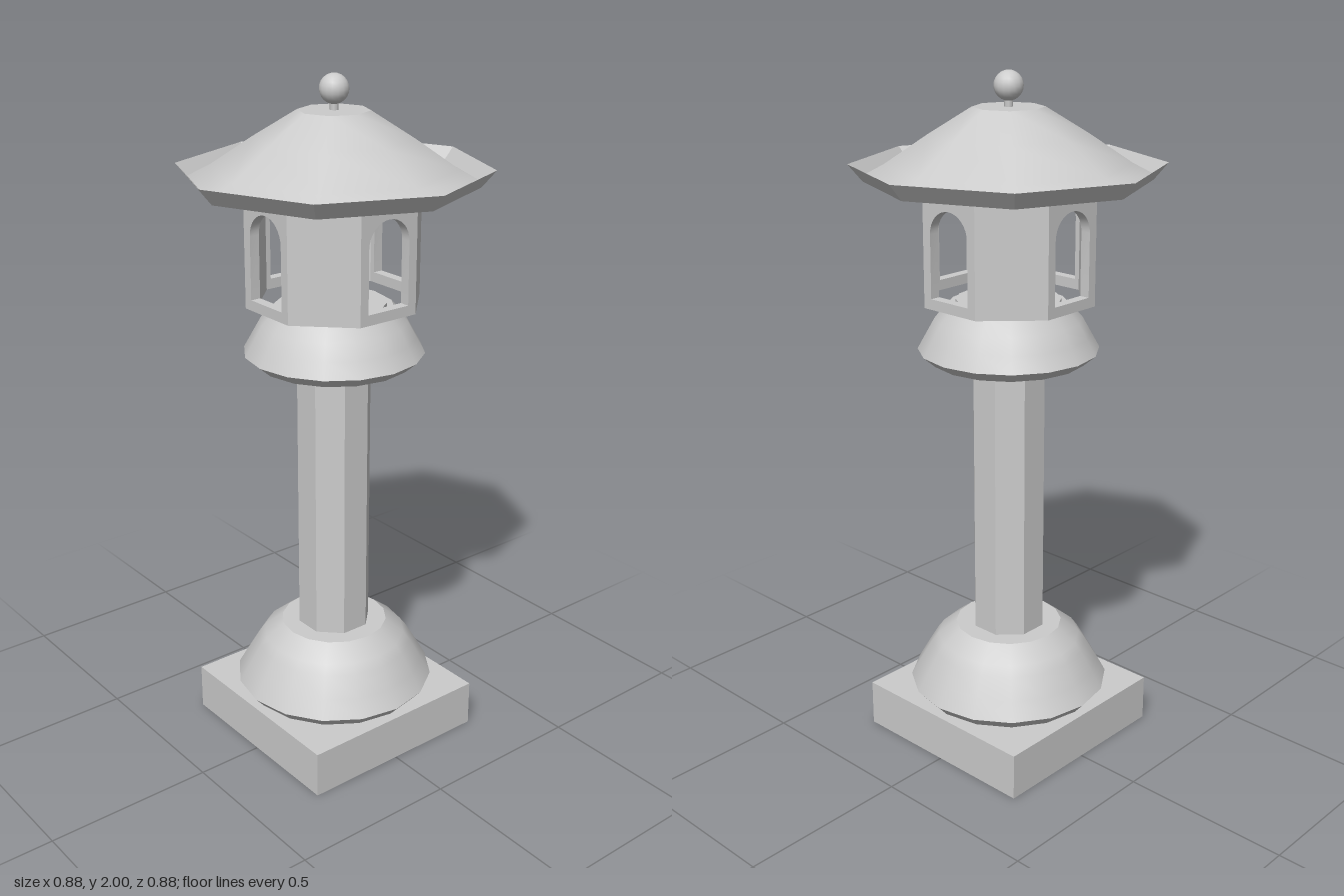
import * as THREE from 'three';
import { toCreasedNormals } from 'three/addons/utils/BufferGeometryUtils.js';

const stone = new THREE.MeshStandardMaterial({ color: 0xcccccc });
const glow = new THREE.MeshStandardMaterial({ color: 0xe8c890 });

export function createModel() {
  const model = new THREE.Group();

  const add = (name, geometry, y = 0, material = stone) => {
    const mesh = new THREE.Mesh(geometry, material);
    mesh.name = name;
    mesh.position.y = y;
    model.add(mesh);
    return mesh;
  };

  // Turned part from [radius, y] pairs listed bottom to top
  const turned = (name, profile, sides, crease = 0.5) => {
    const points = profile.map(([r, y]) => new THREE.Vector2(r, y));
    return add(name, toCreasedNormals(new THREE.LatheGeometry(points, sides), crease));
  };

  // Square plinth and the rounded foot on it
  add('plinth', new THREE.BoxGeometry(0.6, 0.14, 0.6), 0.07);
  turned('foot', [[0, 0.138], [0.27, 0.138], [0.3, 0.172], [0.27, 0.225], [0.235, 0.285],
    [0.215, 0.312], [0.16, 0.355], [0, 0.355]], 16, 0.6);

  // Octagonal post with flat sides facing the axes
  const post = new THREE.CylinderGeometry(0.11, 0.11, 0.86, 8);
  post.rotateY(Math.PI / 8);
  add('post', toCreasedNormals(post, 0.5), 0.78);

  // Collar that carries the lamp housing
  turned('collar', [[0, 1.195], [0.225, 1.195], [0.26, 1.225], [0.235, 1.27], [0.21, 1.315],
    [0.17, 1.358], [0.15, 1.358], [0.15, 1.37], [0, 1.37]], 16, 0.6);

  // Lamp housing: eight wall panels, arched windows in those facing the axes
  const apothem = 0.235, thickness = 0.03, bottom = 1.37, top = 1.71;
  const half = apothem * Math.tan(Math.PI / 8);
  const housing = new THREE.Group();
  housing.name = 'lampHousing';
  for (let i = 0; i < 8; i++) {
    const shape = new THREE.Shape();
    shape.moveTo(-half, bottom);
    shape.lineTo(half, bottom);
    shape.lineTo(half, top);
    shape.lineTo(-half, top);
    shape.closePath();
    const windowed = i % 2 === 0;
    if (windowed) {
      const hole = new THREE.Path();
      hole.moveTo(-0.07, 1.4);
      hole.lineTo(-0.07, 1.58);
      hole.absarc(0, 1.58, 0.07, Math.PI, 0, true);
      hole.lineTo(0.07, 1.4);
      hole.closePath();
      shape.holes.push(hole);
    }
    const geometry = new THREE.ExtrudeGeometry(shape, { depth: thickness, bevelEnabled: false, curveSegments: 8 });
    geometry.translate(0, 0, apothem - thickness);
    const wall = new THREE.Mesh(toCreasedNormals(geometry, 0.5), stone);
    wall.name = windowed ? 'windowWall' : 'solidWall';
    wall.rotation.y = i * Math.PI / 4;
    housing.add(wall);
  }
  model.add(housing);

  add('lamp', new THREE.SphereGeometry(0.073, 20, 14), 1.54, glow);

  // Octagonal roof with corners on the axes and an upturned rim
  turned('roof', [[0, 1.703], [0.4, 1.703], [0.44, 1.75], [0.407, 1.715], [0.34, 1.75],
    [0.22, 1.83], [0.1, 1.903], [0, 1.903]], 8);

  // Ball finial on a short pin
  add('finialPin', new THREE.CylinderGeometry(0.012, 0.012, 0.04, 8), 1.915);
  add('finialBall', new THREE.SphereGeometry(0.041, 16, 12), 1.959);

  return model;
}
